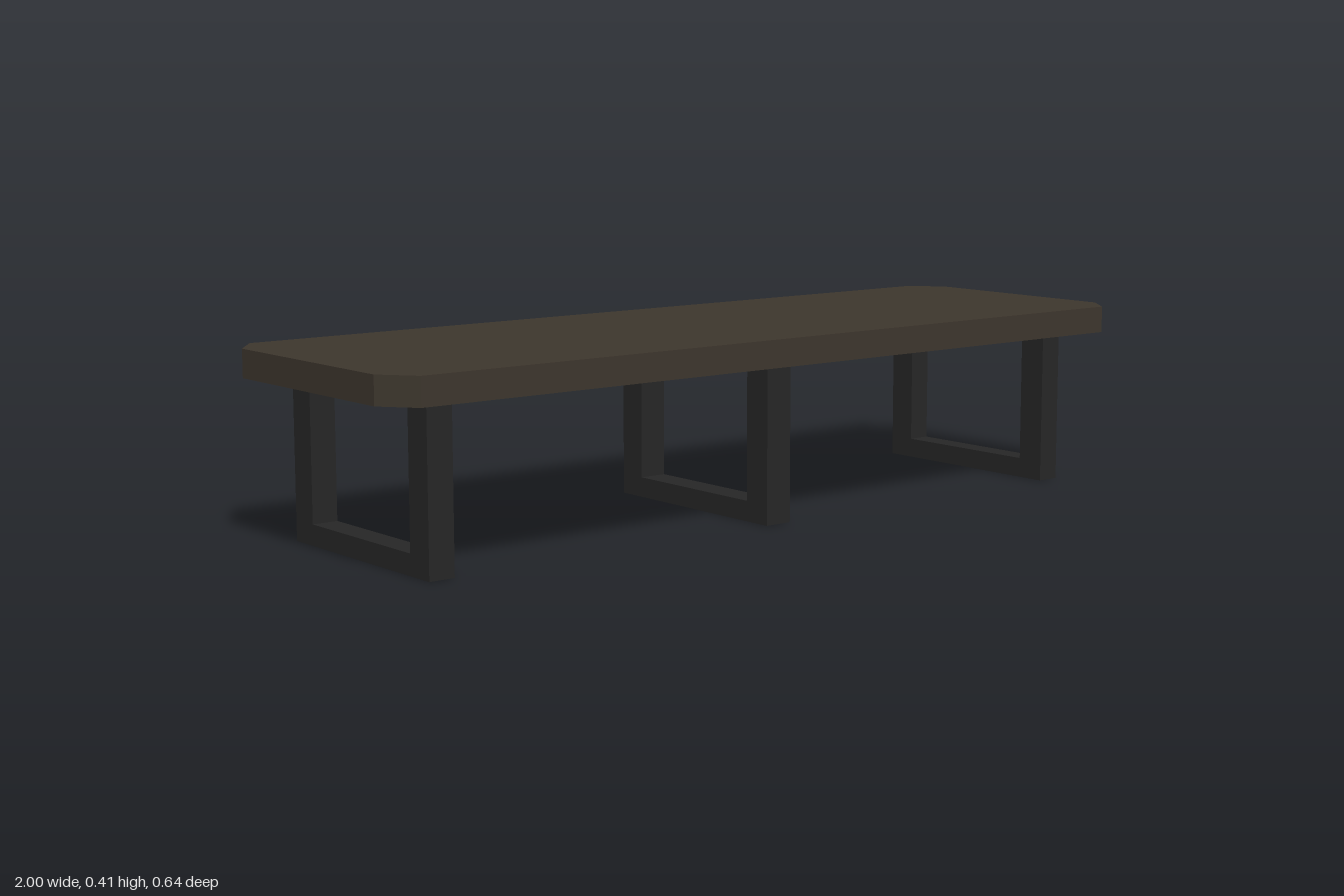
import * as THREE from 'three';

const wood = new THREE.MeshStandardMaterial({ color: 0x3d362d });
const metal = new THREE.MeshStandardMaterial({ color: 0x262626 });

const TOP_Y = 0.41, UNDER_Y = 0.35;

function polygon(points) {
  return new THREE.Shape(points.map(([x, y]) => new THREE.Vector2(x, y)));
}

// Rectangular slab with clipped corners
function createTop() {
  const x = 1, z = 0.322, cx = 0.943, cz = 0.25;
  const outline = polygon([
    [cx, -z], [x, -cz], [x, cz], [cx, z],
    [-cx, z], [-x, cz], [-x, -cz], [-cx, -z],
  ]);
  const geometry = new THREE.ExtrudeGeometry(outline, { depth: TOP_Y - UNDER_Y, bevelEnabled: false });
  geometry.rotateX(-Math.PI / 2).translate(0, UNDER_Y, 0);
  const top = new THREE.Mesh(geometry, wood);
  top.name = 'tableTop';
  return top;
}

// U-shaped frame: two uprights joined by a floor bar
function createLegFrame(name, x, width) {
  const outer = 0.25, inner = 0.184, bar = 0.045;
  const outline = polygon([
    [-outer, 0], [outer, 0], [outer, UNDER_Y], [inner, UNDER_Y],
    [inner, bar], [-inner, bar], [-inner, UNDER_Y], [-outer, UNDER_Y],
  ]);
  const geometry = new THREE.ExtrudeGeometry(outline, { depth: width, bevelEnabled: false });
  geometry.translate(0, 0, -width / 2).rotateY(Math.PI / 2);
  const frame = new THREE.Mesh(geometry, metal);
  frame.name = name;
  frame.position.x = x;
  return frame;
}

export function createModel() {
  const table = new THREE.Group();
  table.name = 'lowTable';
  table.add(
    createTop(),
    createLegFrame('rightLegFrame', -0.857, 0.058),
    createLegFrame('middleLegFrame', 0, 0.065),
    createLegFrame('leftLegFrame', 0.848, 0.054),
  );
  return table;
}
